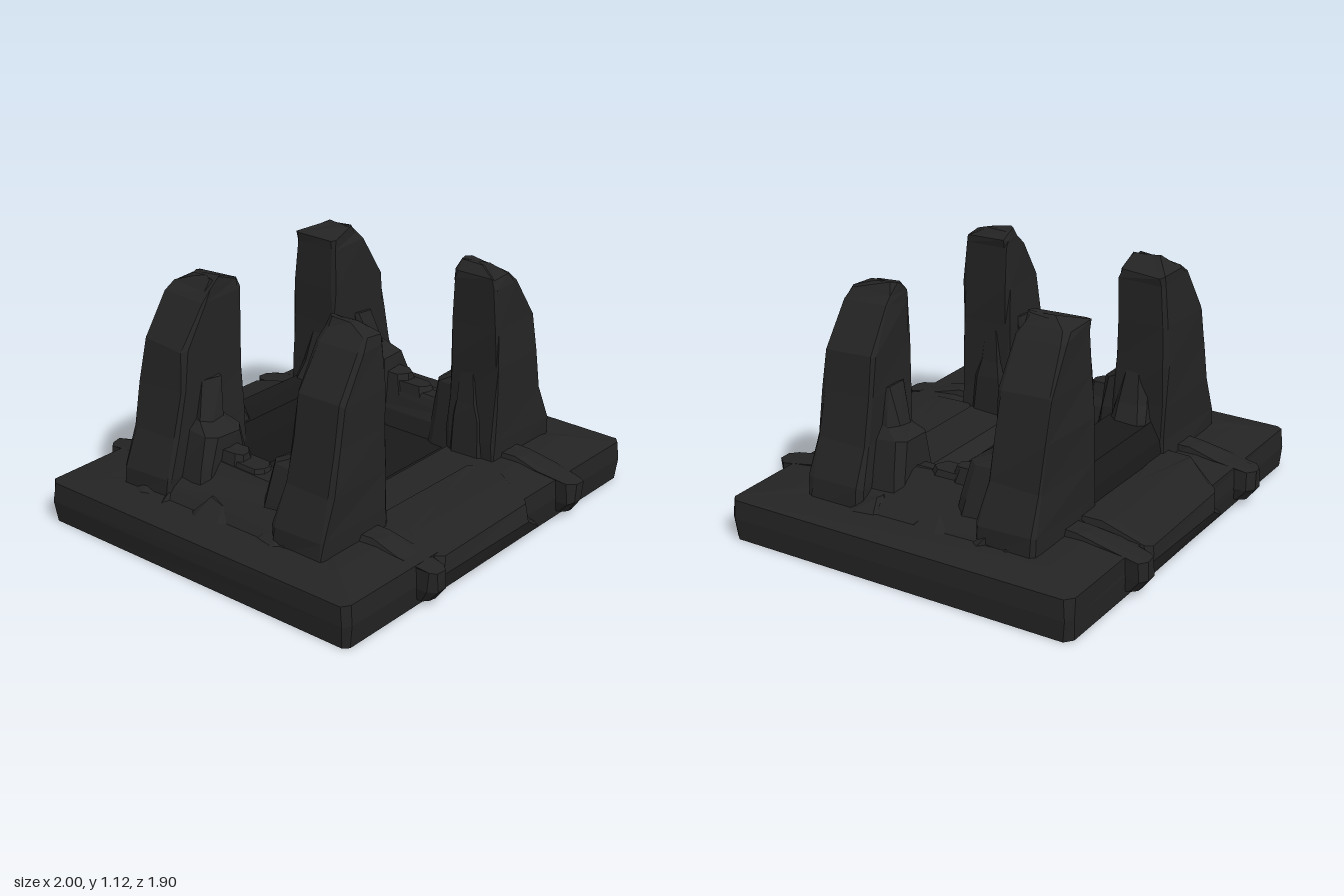
import * as THREE from 'three';

const stone = new THREE.MeshStandardMaterial({ color: 0x242424, flatShading: true });
stone.name = 'charcoal stone';
const darkStone = new THREE.MeshStandardMaterial({ color: 0x191919, flatShading: true });
darkStone.name = 'dark stone';

// Small seeded generator for the chipped, uneven rock surface
let seed = 7;
const rough = (amount) => {
  seed = (seed * 16807) % 2147483647;
  return (seed / 2147483647 - 0.5) * 2 * amount;
};

// Lofts chamfered rectangles [y, x0, x1, z0, z1] into one closed rock
function rock(name, sections, { chamfer = 0.03, chip = 0.012, sx = 1, sz = 1, material = stone } = {}) {
  const pos = [];
  const rings = sections.map(([y, xa, xb, za, zb]) => {
    const [x0, x1] = [xa * sx, xb * sx].sort((a, b) => a - b);
    const [z0, z1] = [za * sz, zb * sz].sort((a, b) => a - b);
    const c = Math.min(chamfer, (x1 - x0) / 3, (z1 - z0) / 3);
    return [
      [x1, z0 + c], [x1 - c, z0], [x0 + c, z0], [x0, z0 + c],
      [x0, z1 - c], [x0 + c, z1], [x1 - c, z1], [x1, z1 - c],
    ].map(([x, z]) => [x + rough(chip), Math.max(0, y + (y > 0.05 ? rough(chip) : 0)), z + rough(chip)]);
  });
  const tri = (a, b, c) => pos.push(...a, ...b, ...c);
  const n = 8;
  for (let i = 0; i < rings.length - 1; i++) {
    for (let j = 0; j < n; j++) {
      const k = (j + 1) % n;
      tri(rings[i][j], rings[i][k], rings[i + 1][k]);
      tri(rings[i][j], rings[i + 1][k], rings[i + 1][j]);
    }
  }
  const cap = (ring, up) => {
    const mid = [0, 1, 2].map((a) => ring.reduce((s, p) => s + p[a], 0) / n);
    ring.forEach((p, j) => {
      const q = ring[(j + 1) % n];
      up ? tri(mid, p, q) : tri(mid, q, p);
    });
  };
  cap(rings[0], false);
  cap(rings[rings.length - 1], true);
  const geo = new THREE.BufferGeometry();
  geo.setAttribute('position', new THREE.Float32BufferAttribute(pos, 3));
  geo.computeVertexNormals();
  const mesh = new THREE.Mesh(geo, material);
  mesh.name = name;
  return mesh;
}

export function createModel() {
  const model = new THREE.Group();
  model.name = 'stonePillarRuin';

  // Slab: shallow hollow underneath, up the rim, over a low crest, then into the pit
  model.add(rock('baseSlab', [
    [0.04, -0.4, 0.4, -0.26, 0.26],
    [0.015, -0.62, 0.62, -0.45, 0.45],
    [0, -0.99, 0.99, -0.85, 0.85],
    [0.1, -0.995, 0.995, -0.86, 0.86],
    [0.19, -0.99, 0.99, -0.855, 0.855],
    [0.21, -0.84, 0.84, -0.66, 0.66],
    [0.2, -0.52, 0.55, -0.33, 0.3],
    [0.15, -0.44, 0.5, -0.28, 0.24],
  ], { chip: 0.005 }));
  model.add(rock('pitFloor', [
    [0.15, -0.43, 0.48, -0.29, 0.24],
    [0.158, -0.42, 0.47, -0.28, 0.23],
  ], { chip: 0, material: darkStone }));

  // Bulging lips along the front and back edges
  model.add(rock('frontLip', [
    [0.02, -0.46, 0.34, 0.7, 0.87],
    [0.12, -0.46, 0.2, 0.7, 0.91],
    [0.185, -0.44, 0.2, 0.66, 0.885],
    [0.215, -0.38, 0.3, 0.5, 0.7],
  ], { chip: 0.006 }));
  model.add(rock('backLip', [
    [0.02, -0.34, 0.45, -0.87, -0.7],
    [0.12, -0.16, 0.45, -0.915, -0.7],
    [0.19, -0.2, 0.44, -0.9, -0.62],
    [0.24, -0.36, 0.42, -0.7, -0.5],
  ], { chip: 0.006 }));

  // Low wall closing the back of the pit
  model.add(rock('backWall', [
    [0.15, -0.45, 0.45, -0.58, -0.27],
    [0.3, -0.42, 0.42, -0.54, -0.29],
    [0.385, -0.4, 0.4, -0.5, -0.31],
  ], { chip: 0.006, material: darkStone }));

  for (const sx of [-1, 1]) {
    const side = sx > 0 ? 'left' : 'right';

    // Broken side walls, stepping up towards the back, with rubble slopes
    model.add(rock(`${side}SideWall`, [
      [0.15, 0.47, 0.86, -0.42, 0.42],
      [0.24, 0.48, 0.78, -0.38, 0.38],
      [0.31, 0.49, 0.69, -0.36, 0.36],
      [0.36, 0.52, 0.62, -0.34, 0.34],
    ], { sx, chip: 0.012 }));
    for (const [top, reach] of [[0.385, 0.06], [0.415, -0.06]]) {
      model.add(rock(`${side}WallRise`, [
        [0.25, 0.49, 0.66, -0.35, reach + 0.04],
        [top, 0.52, 0.61, -0.33, reach],
      ], { sx, chip: 0.005 }));
    }
    for (const z of [-0.38, -0.05, 0.26]) {
      model.add(rock(`${side}Rubble`, [
        [0.18, 0.64, 0.87, z - 0.1, z + 0.12],
        [0.26, 0.66, 0.77, z - 0.05, z + 0.06],
      ], { sx, chip: 0.02 }));
    }

    for (const sz of [-1, 1]) {
      const end = sz > 0 ? 'front' : 'back';
      const inner = sz > 0 ? 0.385 : 0.31;
      const flip = { sx, sz };

      // Tall pillar: straight inner face, outer face leaning inwards to a chipped peak
      model.add(rock(`${end}${side}Pillar`, [
        [0.15, inner - 0.01, 0.815, 0.295, 0.57],
        [0.29, inner - 0.005, 0.805, 0.295, 0.565],
        [0.46, inner, 0.735, 0.3, 0.565],
        [0.66, inner, 0.695, 0.305, 0.565],
        [0.84, inner, 0.66, 0.31, 0.56],
        [1.03, inner, 0.54, 0.315, 0.545],
        [1.07, inner, 0.5, 0.32, 0.535],
        [1.11, 0.42, 0.47, 0.325, 0.45],
      ], { ...flip, chamfer: 0.014, chip: 0.008 }));

      // Stepped foot leaning against the pillar
      model.add(rock(`${end}${side}Foot`, [
        [0.15, 0.44, 0.76, 0.13, 0.34],
        [0.34, 0.45, 0.71, 0.15, 0.34],
        [0.48, 0.47, 0.66, 0.165, 0.34],
        [0.52, 0.48, 0.62, 0.24, 0.34],
        [0.68, 0.46, 0.58, 0.295, 0.34],
      ], { ...flip, chip: 0.008 }));
      // Inner flare at the bottom of the pillar
      model.add(rock(`${end}${side}Flare`, [
        [0.15, sz > 0 ? 0.36 : 0.19, 0.5, 0.31, 0.52],
        [0.38, sz > 0 ? 0.37 : 0.23, 0.5, 0.32, 0.5],
        [0.46, sz > 0 ? 0.38 : 0.27, 0.5, 0.33, 0.48],
        [0.62, sz > 0 ? 0.39 : 0.31, 0.48, 0.34, 0.46],
      ], { ...flip, chip: 0.005 }));

      // Low rib running from the pillar out past the slab edge
      model.add(rock(`${end}${side}Rib`, [
        [0.03, 0.46, 0.55, 0.6, 0.9],
        [0.09, 0.445, 0.56, 0.58, 0.945],
        [0.18, 0.45, 0.56, 0.55, 0.945],
        [0.205, 0.44, 0.57, 0.54, 0.8],
        [0.235, 0.45, 0.56, 0.52, 0.66],
      ], { ...flip, chip: 0.005 }));
    }
  }
  return model;
}
